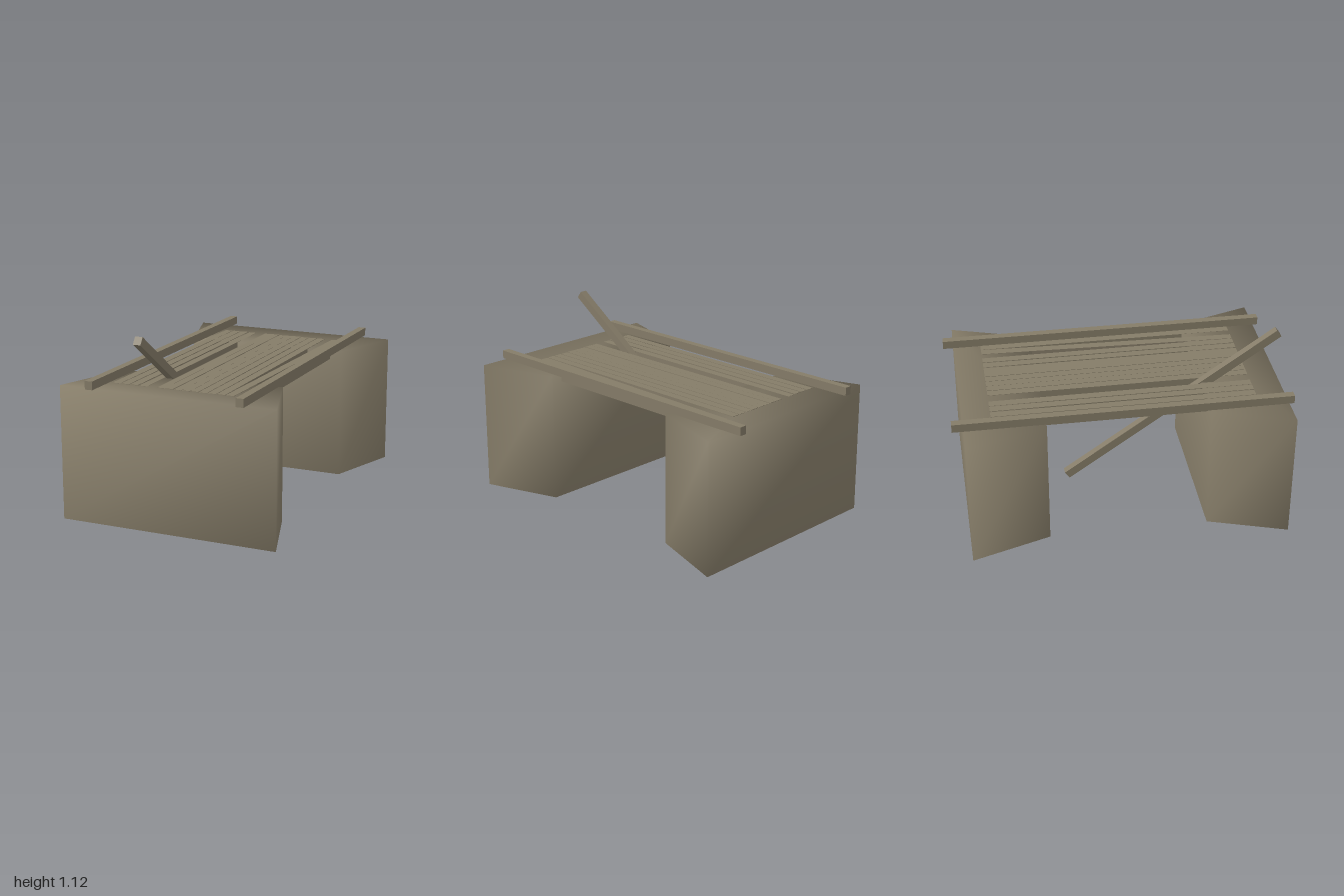
import * as THREE from 'three';

const wood = new THREE.MeshStandardMaterial({ color: 0x857c68 });
wood.name = 'weathered timber';
const earth = new THREE.MeshStandardMaterial({ color: 0x857c68, side: THREE.DoubleSide });
earth.name = 'weathered bank';

const THICK = 0.05;

function bar(name, width, length, x, y, z) {
  const mesh = new THREE.Mesh(new THREE.BoxGeometry(width, THICK, length), wood);
  mesh.name = name;
  mesh.position.set(x, y, z);
  return mesh;
}

// Tapered block, open underneath, with softly shared normals
function abutment(name, zFront, halfFront, zBack, halfBack) {
  const outline = [[-halfFront, zFront], [halfFront, zFront], [halfBack, zBack], [-halfBack, zBack]];
  const points = [];
  for (const y of [0, 0.8]) for (const [x, z] of outline) points.push(x, y, z);
  const index = [4, 5, 6, 4, 6, 7];
  for (let i = 0; i < 4; i++) {
    const j = (i + 1) % 4;
    index.push(i, j, j + 4, i, j + 4, i + 4);
  }
  const geometry = new THREE.BufferGeometry();
  geometry.setAttribute('position', new THREE.Float32BufferAttribute(points, 3));
  geometry.setIndex(index);
  geometry.computeVertexNormals();
  const mesh = new THREE.Mesh(geometry, earth);
  mesh.name = name;
  return mesh;
}

export function createModel() {
  const bridge = new THREE.Group();
  bridge.name = 'plankBridge';

  // Banks at both ends
  bridge.add(abutment('frontAbutment', 0.97, 0.665, 0.5, 0.51));
  bridge.add(abutment('backAbutment', -0.46, 0.51, -0.935, 0.665));

  // Long side rails lying on top
  for (const side of [-1, 1]) {
    bridge.add(bar(side < 0 ? 'rightRail' : 'leftRail', 0.046, 2, side * 0.462, 0.825, 0));
  }

  // Deck planks, leaving out the fallen and the skewed one
  const deck = new THREE.Group();
  deck.name = 'deckPlanks';
  const centres = [-0.395, -0.338, -0.28, -0.222, -0.11, -0.058, -0.005, 0.046, 0.098, 0.149, 0.206, 0.262, 0.415];
  centres.forEach((x, i) => {
    deck.add(bar('plank', 0.049, 1.57, x, 0.776 + (i % 3) * 0.0008, 0.015));
  });
  bridge.add(deck);

  // Plank that has shifted sideways
  const skewed = bar('skewedPlank', 0.049, 1.57, 0.338, 0.777, 0.015);
  skewed.rotation.y = -0.029;
  bridge.add(skewed);

  // Plank that has fallen through the deck
  const fallen = bar('fallenPlank', 0.047, 1.56, -0.163, 0.653, 0.326);
  fallen.rotation.x = -Math.atan2(0.895, 1.278);
  bridge.add(fallen);

  return bridge;
}
